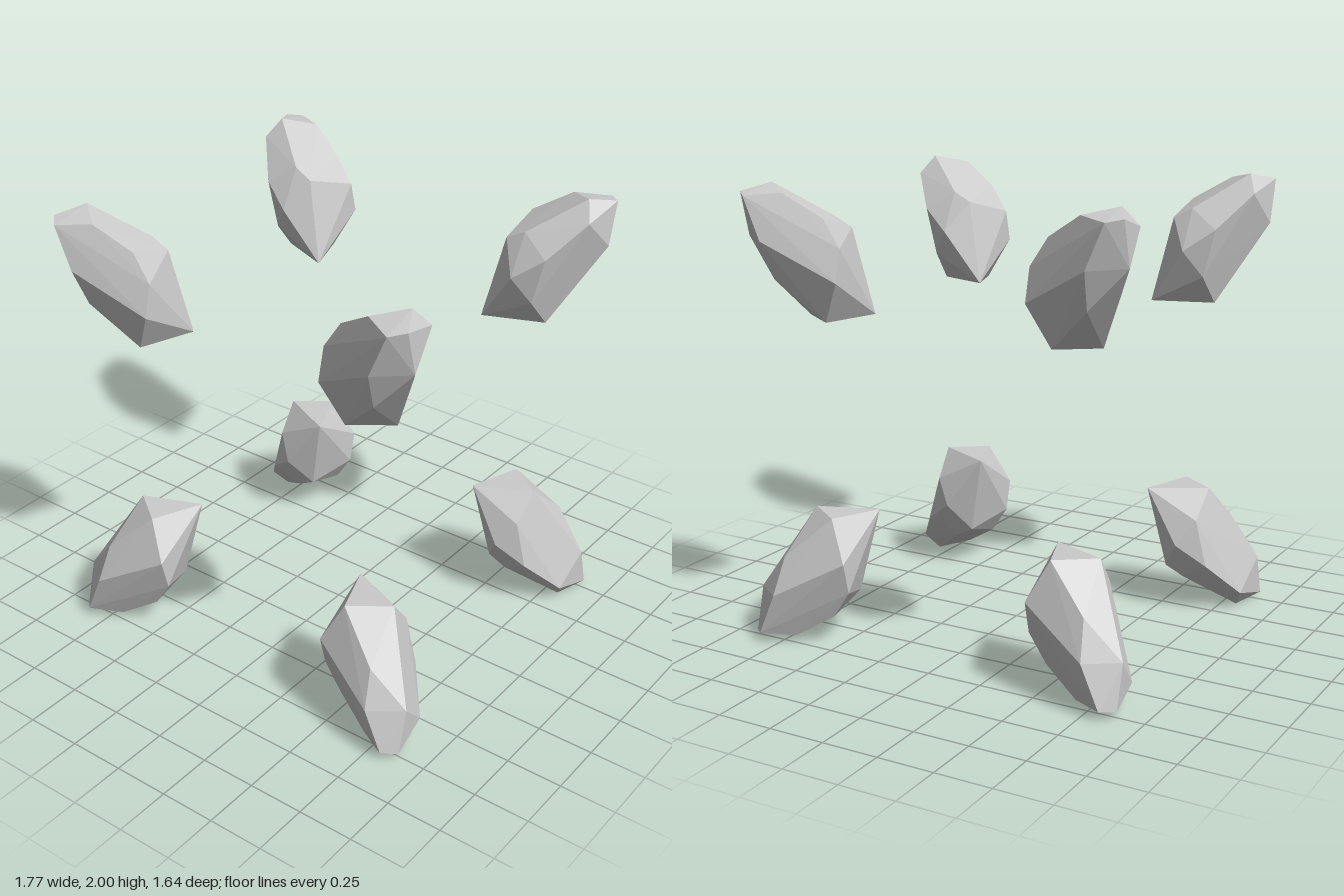
import * as THREE from 'three';
import { ConvexGeometry } from 'three/addons/geometries/ConvexGeometry.js';

// Corners of one faceted shard, measured from the centre of the cluster
const SHARD = [
  // inner tip and lower rim
  [0.445, 0.437, 0.435], [0.535, 0.43, 0.67], [0.70, 0.43, 0.55],
  // inner side
  [0.445, 0.75, 0.685], [0.445, 0.61, 0.72],
  // z-inner side
  [0.61, 0.675, 0.387], [0.74, 0.77, 0.44], [0.687, 0.56, 0.44],
  // top facet
  [0.815, 1.0, 0.64], [0.69, 0.97, 0.74], [0.525, 0.87, 0.685],
  [0.525, 0.81, 0.48], [0.61, 0.853, 0.485],
  // outer end
  [0.75, 0.775, 0.82], [0.83, 0.96, 0.82], [0.73, 0.61, 0.755],
  [0.885, 0.97, 0.765], [0.885, 0.78, 0.715], [0.86, 0.92, 0.575],
];

export function createModel() {
  const group = new THREE.Group();
  group.name = 'shardCluster';
  const material = new THREE.MeshStandardMaterial({ color: 0xcccccc, flatShading: true });

  // One shard in each octant, mirrored across all three planes
  for (const sy of [1, -1]) {
    for (const sz of [1, -1]) {
      for (const sx of [1, -1]) {
        const points = SHARD.map(([x, y, z]) => new THREE.Vector3(sx * x, sy * y, sz * z));
        const shard = new THREE.Mesh(new ConvexGeometry(points), material);
        shard.name = `${sy > 0 ? 'upper' : 'lower'}${sz > 0 ? 'Front' : 'Back'}${sx > 0 ? 'Left' : 'Right'}Shard`;
        shard.position.y = 1;
        group.add(shard);
      }
    }
  }
  return group;
}
